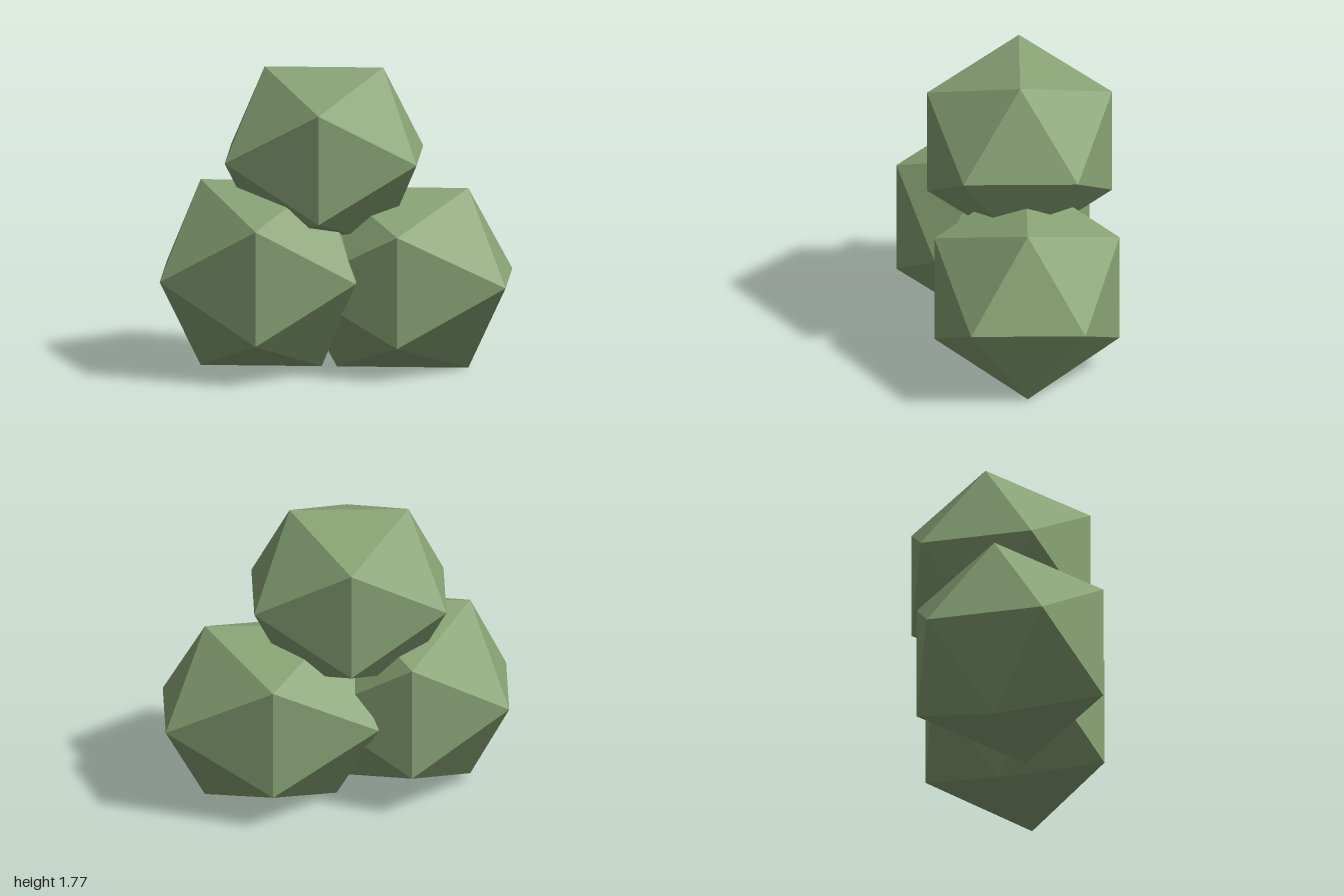
import * as THREE from 'three';

export function createModel() {
  const group = new THREE.Group();
  group.name = 'shrub';
  const leafGreen = new THREE.MeshStandardMaterial({ color: 0x88a375, flatShading: true });
  leafGreen.name = 'leaf green';

  // Three overlapping faceted clumps: name, centre, radii
  const clumps = [
    ['leftClump', [0.381, 0.53, -0.107], [0.727, 0.623, 0.632]],
    ['rightClump', [-0.43, 0.582, 0.08], [0.67, 0.644, 0.659]],
    ['topClump', [-0.074, 1.255, -0.07], [0.656, 0.608, 0.632]],
  ];
  for (const [name, centre, radii] of clumps) {
    const geometry = new THREE.IcosahedronGeometry(1, 0).scale(...radii);
    geometry.computeVertexNormals();
    const mesh = new THREE.Mesh(geometry, leafGreen);
    mesh.name = name;
    mesh.position.set(...centre);
    group.add(mesh);
  }
  return group;
}
